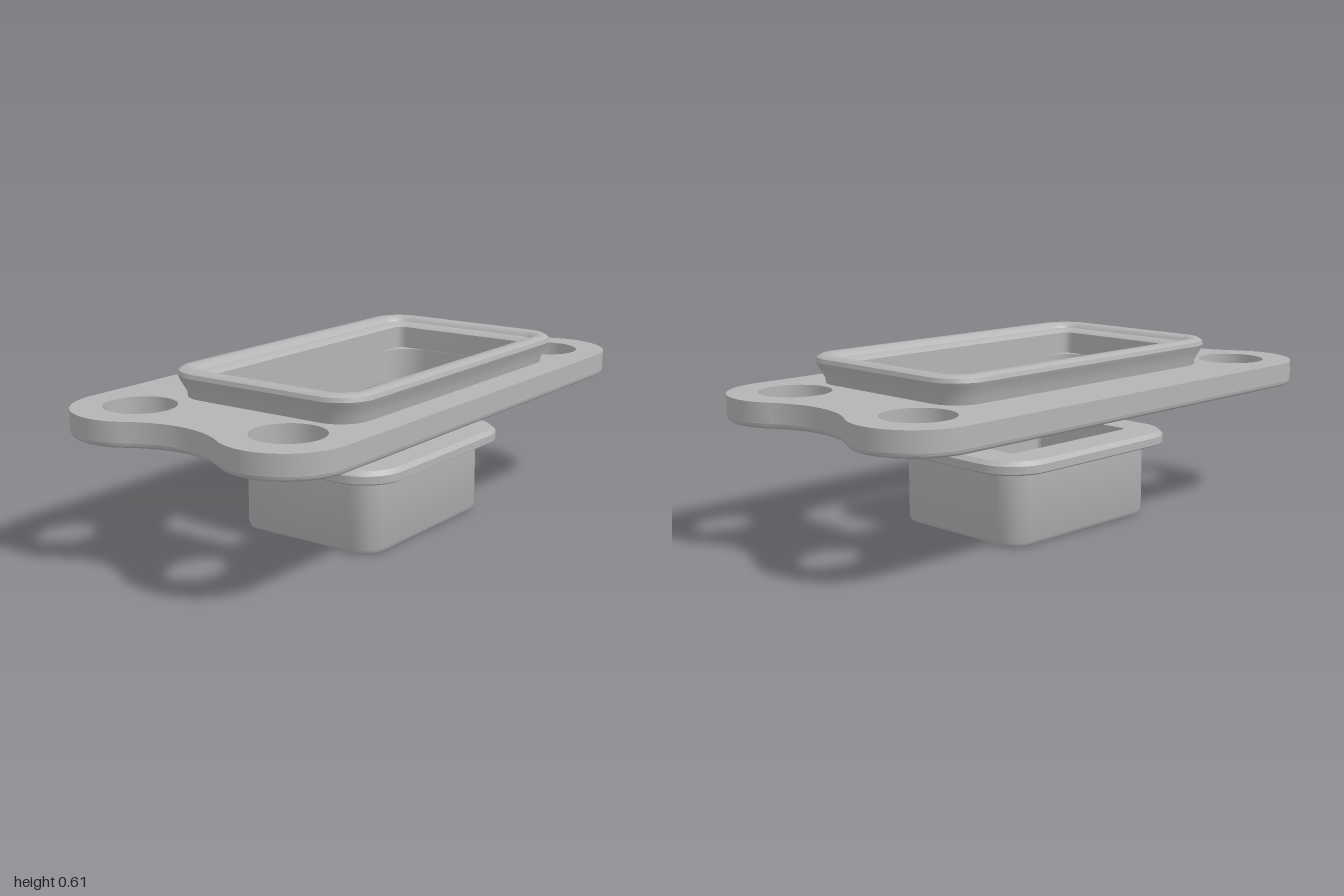
import * as THREE from 'three';
import { toCreasedNormals } from 'three/addons/utils/BufferGeometryUtils.js';

const metal = new THREE.MeshStandardMaterial({ color: 0xb4b4b4 });
metal.name = 'satin grey';

const ARC = 10;

// Points of a rounded rectangle in the xz plane, from +x towards +z
function roundedLoop(hx, hz, r) {
  const pts = [];
  [[1, 1], [-1, 1], [-1, -1], [1, -1]].forEach(([sx, sz], k) => {
    for (let i = 0; i <= ARC; i++) {
      const a = (k + i / ARC) * Math.PI / 2;
      pts.push([sx * (hx - r) + r * Math.cos(a), sz * (hz - r) + r * Math.sin(a)]);
    }
  });
  return pts;
}

// Closed ring skinned through rounded rectangles: [halfX, halfZ, radius, y],
// going up the outside and back down the inside
function rectRing(name, sections, crease = 0.6) {
  const pos = [], idx = [], n = 4 * (ARC + 1), m = sections.length;
  for (const [hx, hz, r, y] of sections)
    for (const [x, z] of roundedLoop(hx, hz, r)) pos.push(x, y, z);
  for (let i = 0; i < m; i++) for (let j = 0; j < n; j++) {
    const i2 = (i + 1) % m, j2 = (j + 1) % n;
    const a = i * n + j, b = i2 * n + j, c = i * n + j2, d = i2 * n + j2;
    idx.push(a, b, c, b, d, c);
  }
  const g = new THREE.BufferGeometry();
  g.setAttribute('position', new THREE.Float32BufferAttribute(pos, 3));
  g.setIndex(idx);
  const mesh = new THREE.Mesh(toCreasedNormals(g, crease), metal);
  mesh.name = name;
  return mesh;
}

// Plate outline: four round ears with a concave waist at each end
function plateShape() {
  const R = 0.215, ex = 0.785, ez = 0.303, wr = 0.34, wx = 1.25;
  const t = Math.atan2(ez, wx - ex), H = Math.PI / 2, P = Math.PI;
  const s = new THREE.Shape();
  s.moveTo(-ex, -ez - R);
  s.lineTo(ex, -ez - R);
  s.absarc(ex, -ez, R, -H, t, false);
  s.absarc(wx, 0, wr, P + t, P - t, true);
  s.absarc(ex, ez, R, -t, H, false);
  s.lineTo(-ex, ez + R);
  s.absarc(-ex, ez, R, H, P + t, false);
  s.absarc(-wx, 0, wr, t, -t, true);
  s.absarc(-ex, -ez, R, P - t, P + H, false);

  // bolt holes
  for (const x of [-0.78, 0.78]) for (const y of [-0.3, 0.3]) {
    const h = new THREE.Path();
    h.absarc(x, y, 0.119, 0, P * 2, true);
    s.holes.push(h);
  }
  // opening, hidden inside the collar wall
  s.holes.push(new THREE.Path(
    roundedLoop(0.59, 0.315, 0.08).map(([x, z]) => new THREE.Vector2(x, z - 0.055))));
  return s;
}

function plateLayer(name, y, options) {
  const g = new THREE.ExtrudeGeometry(plateShape(), { curveSegments: 20, ...options });
  g.rotateX(-Math.PI / 2);
  g.translate(0, y, 0);
  const mesh = new THREE.Mesh(toCreasedNormals(g, 0.6), metal);
  mesh.name = name;
  return mesh;
}

export function createModel() {
  const model = new THREE.Group();
  model.name = 'flangedAdapter';

  // Mounting plate with a rounded lower edge
  const plate = new THREE.Group();
  plate.name = 'mountingPlate';
  plate.add(
    plateLayer('plateTop', 0.45, { depth: 0.065, bevelEnabled: false }),
    plateLayer('plateLowerEdge', 0.447, {
      depth: 0.004, bevelEnabled: true, bevelThickness: 0.017,
      bevelSize: 0.017, bevelOffset: -0.017, bevelSegments: 4,
    }));
  model.add(plate);

  // Collar: sleeve below the plate, flared rim above
  const collar = rectRing('collar', [
    [0.615, 0.34, 0.095, 0.375],
    [0.625, 0.349, 0.105, 0.379],
    [0.628, 0.352, 0.108, 0.388],
    [0.628, 0.353, 0.108, 0.53],
    [0.650, 0.375, 0.12, 0.575],
    [0.655, 0.380, 0.125, 0.588],
    [0.651, 0.376, 0.121, 0.602],
    [0.638, 0.363, 0.108, 0.61],
    [0.610, 0.335, 0.08, 0.61],
    [0.598, 0.322, 0.07, 0.603],
    [0.590, 0.312, 0.06, 0.592],
    [0.562, 0.282, 0.04, 0.59],
    [0.547, 0.267, 0.03, 0.58],
    [0.547, 0.267, 0.03, 0.5],
    [0.545, 0.265, 0.12, 0.5],
    [0.545, 0.265, 0.12, 0.375],
  ]);
  collar.position.z = 0.055;
  model.add(collar);

  // Separate socket below: rectangular tube and its lip
  const socket = new THREE.Group();
  socket.name = 'socket';
  const tube = rectRing('socketTube', [
    [0.300, 0.228, 0.03, 0.004],
    [0.308, 0.238, 0.04, 0],
    [0.335, 0.265, 0.07, 0],
    [0.347, 0.277, 0.08, 0.005],
    [0.354, 0.284, 0.09, 0.018],
    [0.354, 0.284, 0.09, 0.27],
    [0.288, 0.216, 0.02, 0.27],
    [0.288, 0.216, 0.02, 0.016],
  ]);
  tube.position.z = 0.014;
  const lip = rectRing('socketLip', [
    [0.415, 0.342, 0.14, 0.258],
    [0.424, 0.352, 0.15, 0.264],
    [0.424, 0.352, 0.15, 0.29],
    [0.408, 0.336, 0.135, 0.304],
    [0.288, 0.216, 0.02, 0.304],
    [0.288, 0.216, 0.02, 0.258],
  ], 0.5);
  lip.position.z = 0.013;
  socket.add(tube, lip);
  socket.position.x = -0.003;
  model.add(socket);

  return model;
}
